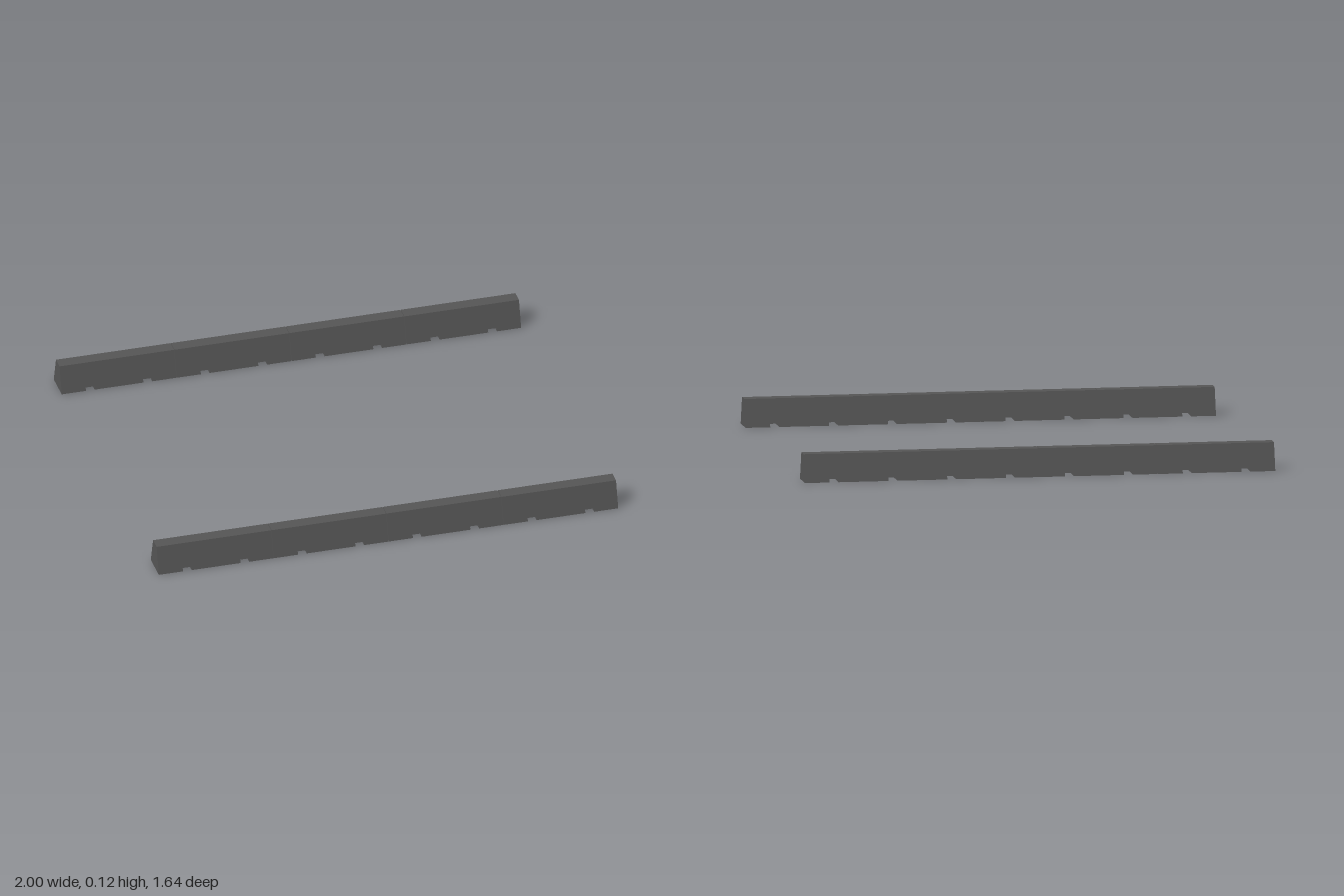
import * as THREE from 'three';

const HEIGHT = 0.117, BASE_HALF = 0.0625, TOP_HALF = 0.028;
const PITCH = 0.5, LENGTH = 0.498, ROW_Z = 0.756;
const NOTCH_X = 0.125, NOTCH_HALF = 0.019, NOTCH_HEIGHT = 0.014;

// Long block with two drainage notches under it, tapering towards the top
function blockGeometry() {
  const h = LENGTH / 2;
  const side = new THREE.Shape();
  side.moveTo(-h, 0);
  for (const x of [-NOTCH_X, NOTCH_X]) {
    side.lineTo(x - NOTCH_HALF, 0);
    side.lineTo(x - NOTCH_HALF, NOTCH_HEIGHT);
    side.lineTo(x + NOTCH_HALF, NOTCH_HEIGHT);
    side.lineTo(x + NOTCH_HALF, 0);
  }
  side.lineTo(h, 0);
  side.lineTo(h, HEIGHT);
  side.lineTo(-h, HEIGHT);
  side.closePath();

  const geometry = new THREE.ExtrudeGeometry(side, { depth: 2, bevelEnabled: false });
  geometry.translate(0, 0, -1);
  const p = geometry.attributes.position;
  for (let i = 0; i < p.count; i++) {
    const half = THREE.MathUtils.lerp(BASE_HALF, TOP_HALF, p.getY(i) / HEIGHT);
    p.setZ(i, p.getZ(i) * half);
  }
  geometry.computeVertexNormals();
  return geometry;
}

export function createModel() {
  const model = new THREE.Group();
  model.name = 'barrierRows';
  const concrete = new THREE.MeshStandardMaterial({ color: 0x555555 });
  concrete.name = 'darkGreyConcrete';
  const geometry = blockGeometry();

  // Two parallel rows of four blocks
  for (const [name, z] of [['frontRow', ROW_Z], ['backRow', -ROW_Z]]) {
    const row = new THREE.Group();
    row.name = name;
    row.position.z = z;
    for (let i = 0; i < 4; i++) {
      const block = new THREE.Mesh(geometry, concrete);
      block.name = `barrierBlock${i + 1}`;
      block.position.x = (i - 1.5) * PITCH;
      row.add(block);
    }
    model.add(row);
  }
  return model;
}
